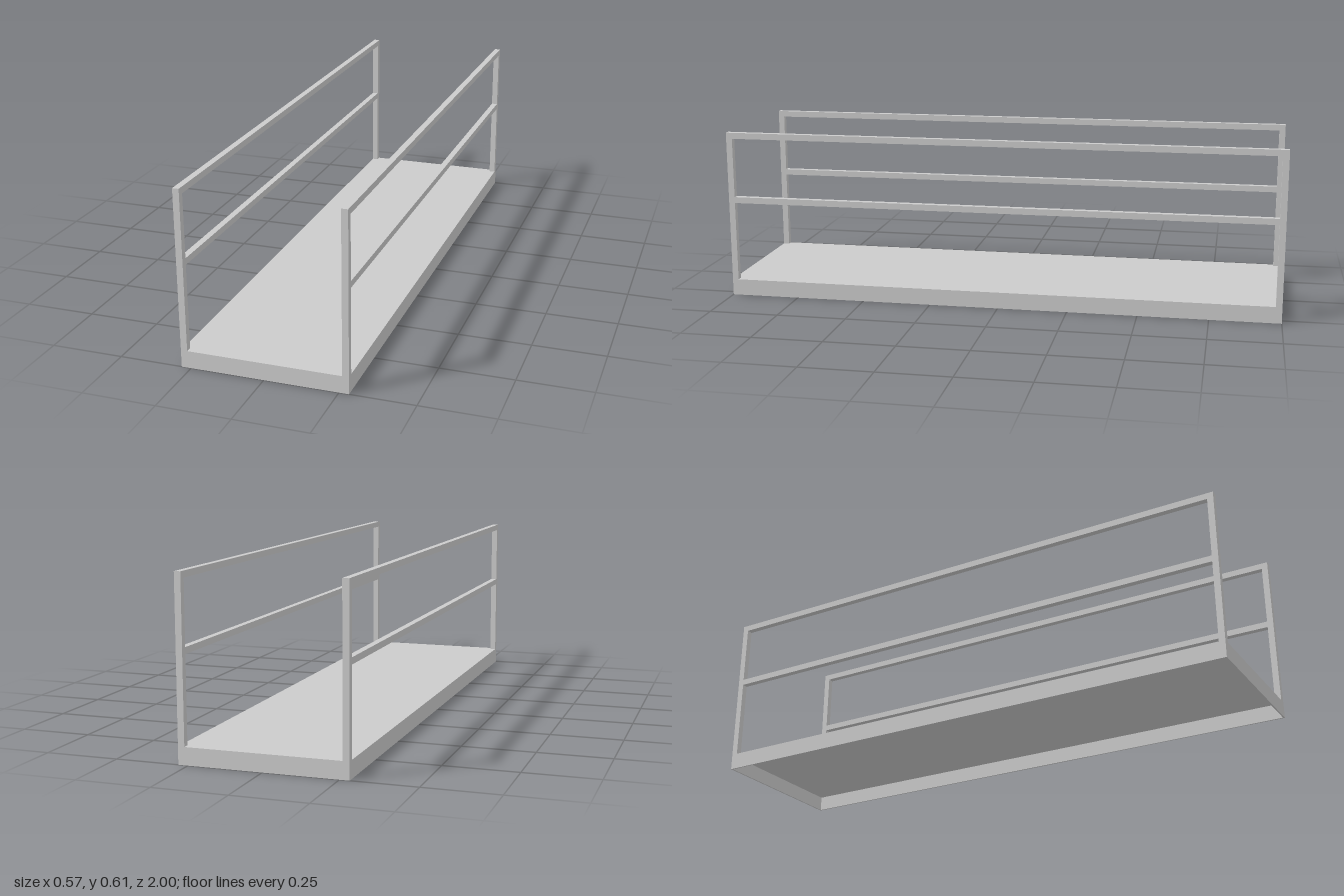
import * as THREE from 'three';

const W = 0.566, L = 2, DECK = 0.059, TOP = 0.609, BAR = 0.022, SKIN = 0.005;

export function createModel() {
  const model = new THREE.Group();
  model.name = 'footbridge';
  const material = new THREE.MeshStandardMaterial({ color: 0xcccccc });

  const box = (parent, name, size, position) => {
    const mesh = new THREE.Mesh(new THREE.BoxGeometry(...size), material);
    mesh.name = name;
    mesh.position.set(...position);
    parent.add(mesh);
  };

  // Platform: thin deck plate with a thin skirt, open underneath
  const platform = new THREE.Group();
  platform.name = 'platform';
  model.add(platform);
  box(platform, 'deck', [W, SKIN, L], [0, DECK - SKIN / 2, 0]);
  const skirt = DECK - SKIN;
  for (const s of [1, -1]) {
    box(platform, 'sideSkirt', [SKIN, skirt, L], [s * (W - SKIN) / 2, skirt / 2, 0]);
    box(platform, 'endSkirt', [W - 2 * SKIN, skirt, SKIN], [0, skirt / 2, s * (L - SKIN) / 2]);
  }

  // Railings: two end posts, a handrail and a middle rail on each side
  for (const s of [1, -1]) {
    const railing = new THREE.Group();
    railing.name = s > 0 ? 'leftRailing' : 'rightRailing';
    railing.position.x = s * (W - BAR) / 2;
    model.add(railing);
    for (const e of [1, -1]) {
      box(railing, 'post', [BAR, TOP - DECK, BAR], [0, (TOP + DECK) / 2, e * (L - BAR) / 2]);
    }
    for (const [name, y] of [['handrail', TOP - BAR / 2], ['middleRail', 0.36]]) {
      box(railing, name, [BAR, BAR, L - 2 * BAR], [0, y, 0]);
    }
  }
  return model;
}
